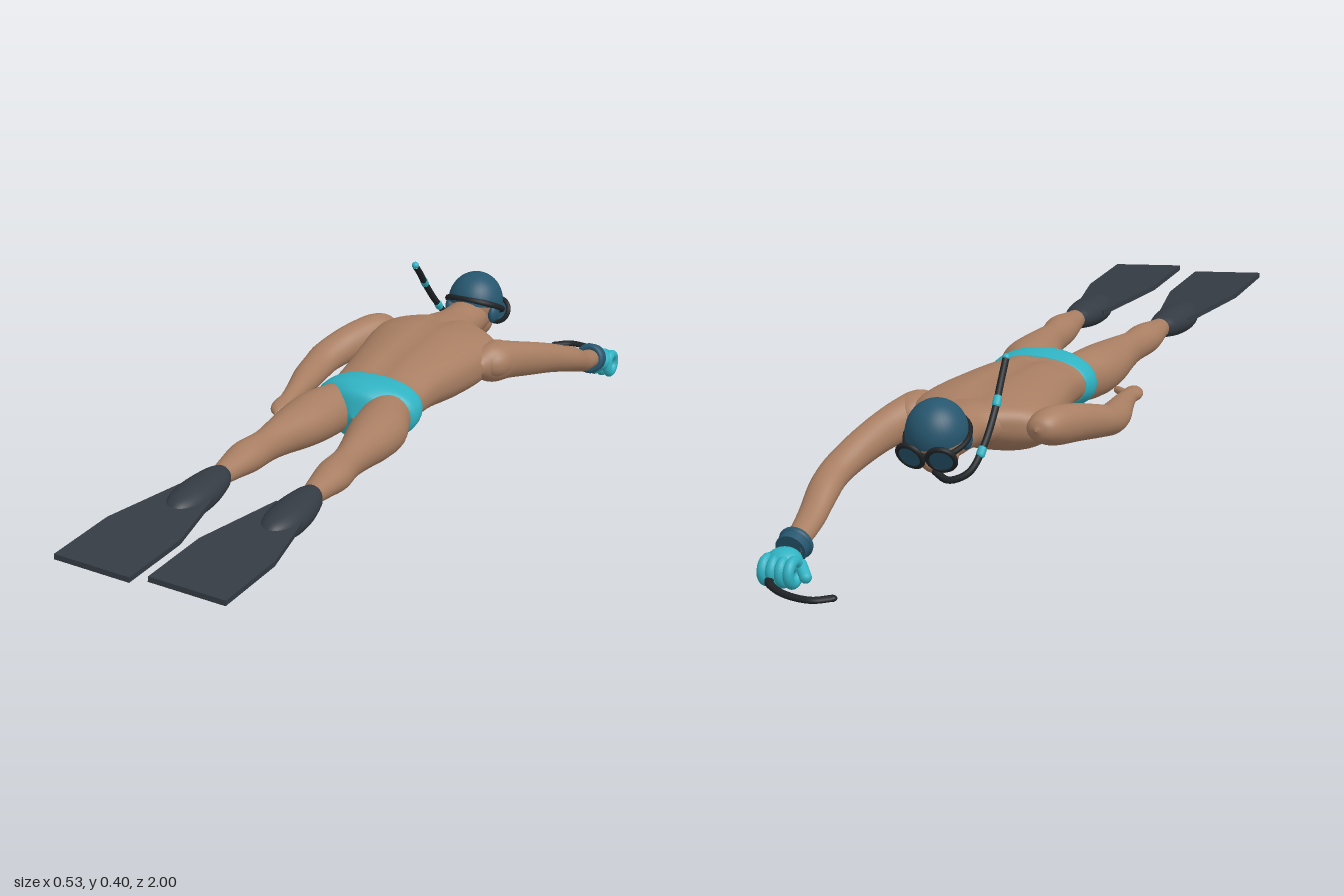
import * as THREE from 'three';

const mat = (name, color) => {
  const m = new THREE.MeshStandardMaterial({ color });
  m.name = name;
  return m;
};

// Smooth body from elliptical sections [x, y, z, halfWidth, halfHeight], z ascending
function loft(sections, power = 2, sides = 28, steps = 6) {
  const V = (a, b, c) => new THREE.Vector3(a, b, c);
  const centres = new THREE.CatmullRomCurve3(sections.map(s => V(s[0], s[1], s[2])), false, 'catmullrom', 0.5);
  const radii = new THREE.CatmullRomCurve3(sections.map(s => V(s[3], s[4], 0)), false, 'catmullrom', 0.5);
  const rows = (sections.length - 1) * steps;
  const pos = [], idx = [];
  const bend = v => Math.sign(v) * Math.pow(Math.abs(v), 2 / power);
  for (let i = 0; i <= rows; i++) {
    const c = centres.getPoint(i / rows), r = radii.getPoint(i / rows);
    for (let j = 0; j < sides; j++) {
      const a = (j / sides) * Math.PI * 2;
      pos.push(c.x + Math.max(r.x, 0.001) * bend(Math.cos(a)), c.y + Math.max(r.y, 0.001) * bend(Math.sin(a)), c.z);
      if (i < rows) {
        const p = i * sides + j, q = i * sides + (j + 1) % sides;
        idx.push(p, q, p + sides, q, q + sides, p + sides);
      }
    }
  }
  const g = new THREE.BufferGeometry();
  g.setAttribute('position', new THREE.Float32BufferAttribute(pos, 3));
  g.setIndex(idx);
  g.computeVertexNormals();
  return g;
}

export function createModel() {
  const skin = mat('skin', 0xa87e62);
  const teal = mat('teal', 0x30b2c2);
  const navy = mat('deep blue', 0x26566e);
  const rubber = mat('fin rubber', 0x343b43);
  const black = mat('black', 0x1f2326);
  const model = new THREE.Group();
  model.name = 'diver';

  const add = (name, geo, material, parent = model) => {
    const m = new THREE.Mesh(geo, material);
    m.name = name;
    parent.add(m);
    return m;
  };
  const ball = (name, material, p, r, parent) => {
    const m = add(name, new THREE.SphereGeometry(1, 28, 18), material, parent);
    m.position.set(...p);
    m.scale.set(...r);
    return m;
  };
  const path = pts => new THREE.CatmullRomCurve3(pts.map(p => new THREE.Vector3(...p)));
  const tube = (name, material, pts, r, parent) =>
    add(name, new THREE.TubeGeometry(path(pts), 40, r, 10), material, parent);
  const limb = (name, material, a, b, r, parent) => {
    const from = new THREE.Vector3(...a), to = new THREE.Vector3(...b);
    const m = add(name, new THREE.CapsuleGeometry(r, from.distanceTo(to), 6, 14), material, parent);
    m.position.copy(from).lerp(to, 0.5);
    m.quaternion.setFromUnitVectors(new THREE.Vector3(0, 1, 0), to.sub(from).normalize());
    return m;
  };

  // Torso with a shallow groove along the spine
  const torso = loft([
    [0, 0.25, -0.46, 0.04, 0.03], [0, 0.245, -0.435, 0.085, 0.042], [0, 0.237, -0.39, 0.15, 0.058],
    [0, 0.231, -0.32, 0.155, 0.074], [0, 0.231, -0.22, 0.138, 0.073], [0, 0.235, -0.12, 0.12, 0.063],
    [0, 0.232, -0.05, 0.115, 0.056], [0, 0.228, 0.01, 0.118, 0.058], [0, 0.225, 0.05, 0.06, 0.045],
  ], 2.35, 48);
  const tp = torso.attributes.position;
  for (let i = 0; i < tp.count; i++) {
    if (tp.getY(i) > 0.25 && tp.getZ(i) > -0.42 && tp.getZ(i) < -0.05) {
      tp.setY(i, tp.getY(i) - 0.008 * Math.exp(-((tp.getX(i) / 0.022) ** 2)));
    }
  }
  torso.computeVertexNormals();
  add('torso', torso, skin);
  add('neck', loft([
    [0, 0.243, -0.6, 0.046, 0.045], [0, 0.245, -0.53, 0.05, 0.045],
    [0, 0.245, -0.47, 0.058, 0.046], [0, 0.243, -0.41, 0.1, 0.048], [0, 0.24, -0.36, 0.1, 0.04],
  ]), skin);

  // Swimming briefs
  add('briefs', loft([
    [0, 0.23, -0.036, 0.113, 0.053], [0, 0.23, -0.034, 0.12, 0.06], [0, 0.227, -0.01, 0.126, 0.066],
    [0, 0.225, 0.02, 0.122, 0.069], [0, 0.224, 0.045, 0.088, 0.064],
    [0, 0.224, 0.065, 0.05, 0.05], [0, 0.224, 0.08, 0.002, 0.002],
  ], 2.2, 40), teal);

  // Legs and swim fins
  for (const s of [-1, 1]) {
    const side = s > 0 ? 'left' : 'right';
    add(side + 'Leg', loft([
      [s * 0.066, 0.225, -0.01, 0.04, 0.045], [s * 0.068, 0.224, 0.04, 0.055, 0.055],
      [s * 0.08, 0.225, 0.1, 0.063, 0.057], [s * 0.087, 0.227, 0.17, 0.058, 0.052],
      [s * 0.095, 0.231, 0.25, 0.042, 0.043], [s * 0.1, 0.232, 0.31, 0.035, 0.037],
      [s * 0.106, 0.235, 0.38, 0.04, 0.036], [s * 0.108, 0.236, 0.44, 0.032, 0.028],
      [s * 0.109, 0.236, 0.5, 0.022, 0.021], [s * 0.11, 0.236, 0.54, 0.022, 0.02],
    ]), skin);
    const fx = s > 0 ? 0.103 : -0.113;
    const fin = new THREE.Group();
    fin.name = side + 'Fin';
    model.add(fin);
    add('finFoot', loft([
      [s * 0.109, 0.236, 0.485, 0.024, 0.023], [s * 0.11, 0.235, 0.51, 0.035, 0.028],
      [s * 0.111, 0.232, 0.57, 0.045, 0.034], [s * 0.112, 0.231, 0.63, 0.043, 0.033],
      [s * 0.112, 0.233, 0.675, 0.028, 0.022], [s * 0.112, 0.235, 0.698, 0.002, 0.002],
    ]), rubber, fin);
    const outline = new THREE.Shape([
      [-0.04, 0], [0.04, 0], [0.087, 0.24], [0.087, 0.44], [-0.087, 0.44], [-0.087, 0.24],
    ].map(p => new THREE.Vector2(...p)));
    const blade = add('finBlade', new THREE.ExtrudeGeometry(outline, { depth: 0.012, bevelEnabled: false })
      .rotateX(Math.PI / 2).translate(0, 0.006, 0), rubber, fin);
    blade.position.set(fx, 0.236, 0.56);
    blade.rotation.set(-0.035, 0, -0.07);
  }

  // Right arm resting back along the body
  add('rightArm', loft([
    [-0.155, 0.245, -0.43, 0.003, 0.003], [-0.158, 0.243, -0.415, 0.03, 0.027],
    [-0.168, 0.24, -0.37, 0.043, 0.043], [-0.197, 0.232, -0.3, 0.042, 0.042],
    [-0.222, 0.218, -0.23, 0.04, 0.037], [-0.227, 0.207, -0.18, 0.037, 0.034],
    [-0.222, 0.203, -0.12, 0.034, 0.032], [-0.21, 0.203, -0.05, 0.026, 0.025],
    [-0.202, 0.203, 0.01, 0.02, 0.018], [-0.2, 0.202, 0.04, 0.024, 0.015],
    [-0.196, 0.201, 0.07, 0.018, 0.012], [-0.192, 0.2, 0.088, 0.002, 0.002],
  ]), skin);
  limb('rightThumb', skin, [-0.198, 0.203, 0.025], [-0.16, 0.203, 0.055], 0.009);
  limb('rightFingers', skin, [-0.195, 0.195, 0.055], [-0.175, 0.193, 0.072], 0.01);

  // Left arm reaching forward and down
  add('leftArm', loft([
    [0.217, 0.07, -0.84, 0.025, 0.022], [0.219, 0.078, -0.8, 0.026, 0.023],
    [0.224, 0.1, -0.73, 0.031, 0.028], [0.231, 0.133, -0.66, 0.035, 0.033],
    [0.232, 0.157, -0.6, 0.035, 0.034], [0.217, 0.183, -0.53, 0.036, 0.038],
    [0.194, 0.207, -0.45, 0.038, 0.043], [0.165, 0.225, -0.38, 0.044, 0.047],
    [0.15, 0.23, -0.33, 0.042, 0.045], [0.135, 0.232, -0.29, 0.02, 0.02],
  ]), skin);
  ball('leftShoulder', skin, [0.155, 0.232, -0.36], [0.047, 0.044, 0.06]);

  // Gloved fist
  const glove = new THREE.Group();
  glove.name = 'glove';
  model.add(glove);
  const cuff = add('gloveCuff', new THREE.CylinderGeometry(0.034, 0.034, 0.03, 28), navy, glove);
  cuff.position.set(0.217, 0.071, -0.823);
  cuff.rotation.x = Math.PI / 2 - 0.3;
  const roll = add('cuffRoll', new THREE.TorusGeometry(0.029, 0.009, 12, 28), navy, glove);
  roll.position.set(0.217, 0.074, -0.812);
  roll.rotation.x = -0.3;
  ball('palm', teal, [0.217, 0.052, -0.864], [0.038, 0.029, 0.036], glove);
  for (let i = 0; i < 4; i++) {
    const finger = add('finger', new THREE.TorusGeometry(0.023, 0.0115, 12, 24), teal, glove);
    finger.position.set(0.187 + i * 0.0195, 0.038, -0.885);
    finger.rotation.y = Math.PI / 2;
  }
  limb('thumb', teal, [0.185, 0.045, -0.855], [0.165, 0.028, -0.875], 0.013, glove);

  // Curved hook held in the fist
  const hook = tube('hook', black, [
    [0.215, 0.028, -0.875], [0.226, 0.028, -0.915], [0.19, 0.028, -0.958],
    [0.14, 0.028, -0.983], [0.095, 0.028, -0.985], [0.063, 0.028, -0.96],
  ], 0.0095);
  hook.scale.y = 0.7;
  hook.position.y = 0.008;
  ball('hookTip', black, [0.063, 0.0276, -0.96], [0.0095, 0.0067, 0.0095]);

  // Head, tipped to look forward and down
  const head = new THREE.Group();
  head.name = 'head';
  head.position.set(0, 0.272, -0.59);
  head.rotation.x = -0.5;
  model.add(head);
  ball('skull', skin, [0, 0, 0], [0.061, 0.066, 0.065], head);
  ball('jaw', skin, [0, -0.042, -0.02], [0.045, 0.046, 0.043], head);
  ball('nose', skin, [0, -0.033, -0.064], [0.01, 0.014, 0.012], head);
  const cap = add('swimCap', new THREE.SphereGeometry(1, 32, 16, 0, Math.PI * 2, 0, Math.PI * 0.53), navy, head);
  cap.material.side = THREE.DoubleSide;
  cap.scale.set(0.066, 0.071, 0.07);
  cap.rotation.x = 0.25;
  for (const s of [-1, 1]) ball('earFlap', navy, [s * 0.057, -0.022, 0.01], [0.012, 0.026, 0.02], head);

  // Mask with two round lenses and a strap
  const mask = new THREE.Group();
  mask.name = 'mask';
  head.add(mask);
  for (const s of [-1, 1]) {
    const frame = add('lensFrame', new THREE.TorusGeometry(0.029, 0.006, 10, 28), black, mask);
    frame.position.set(s * 0.035, -0.008, -0.069);
    frame.rotation.y = s * -0.15;
    const lens = add('lens', new THREE.CylinderGeometry(0.028, 0.028, 0.008, 28), navy, mask);
    lens.position.copy(frame.position);
    lens.rotation.set(Math.PI / 2, 0, s * 0.15);
  }
  limb('maskBridge', black, [-0.01, -0.003, -0.07], [0.01, -0.003, -0.07], 0.006, mask);
  const strap = add('maskStrap', new THREE.TorusGeometry(0.07, 0.005, 8, 40), black, mask);
  strap.rotation.x = Math.PI / 2;
  strap.scale.set(1, 0.96, 1.4);
  strap.position.y = -0.008;

  // Snorkel
  tube('snorkel', black, [
    [-0.008, 0.197, -0.622], [-0.045, 0.186, -0.636], [-0.085, 0.203, -0.622],
    [-0.102, 0.25, -0.585], [-0.104, 0.31, -0.53], [-0.098, 0.355, -0.485], [-0.091, 0.397, -0.438],
  ], 0.0078);
  ball('snorkelTip', teal, [-0.091, 0.4, -0.436], [0.0085, 0.0085, 0.0085]);
  limb('snorkelBand', teal, [-0.1035, 0.322, -0.519], [-0.102, 0.332, -0.509], 0.0092);
  limb('snorkelClip', teal, [-0.1, 0.236, -0.596], [-0.101, 0.245, -0.589], 0.0095);
  return model;
}
